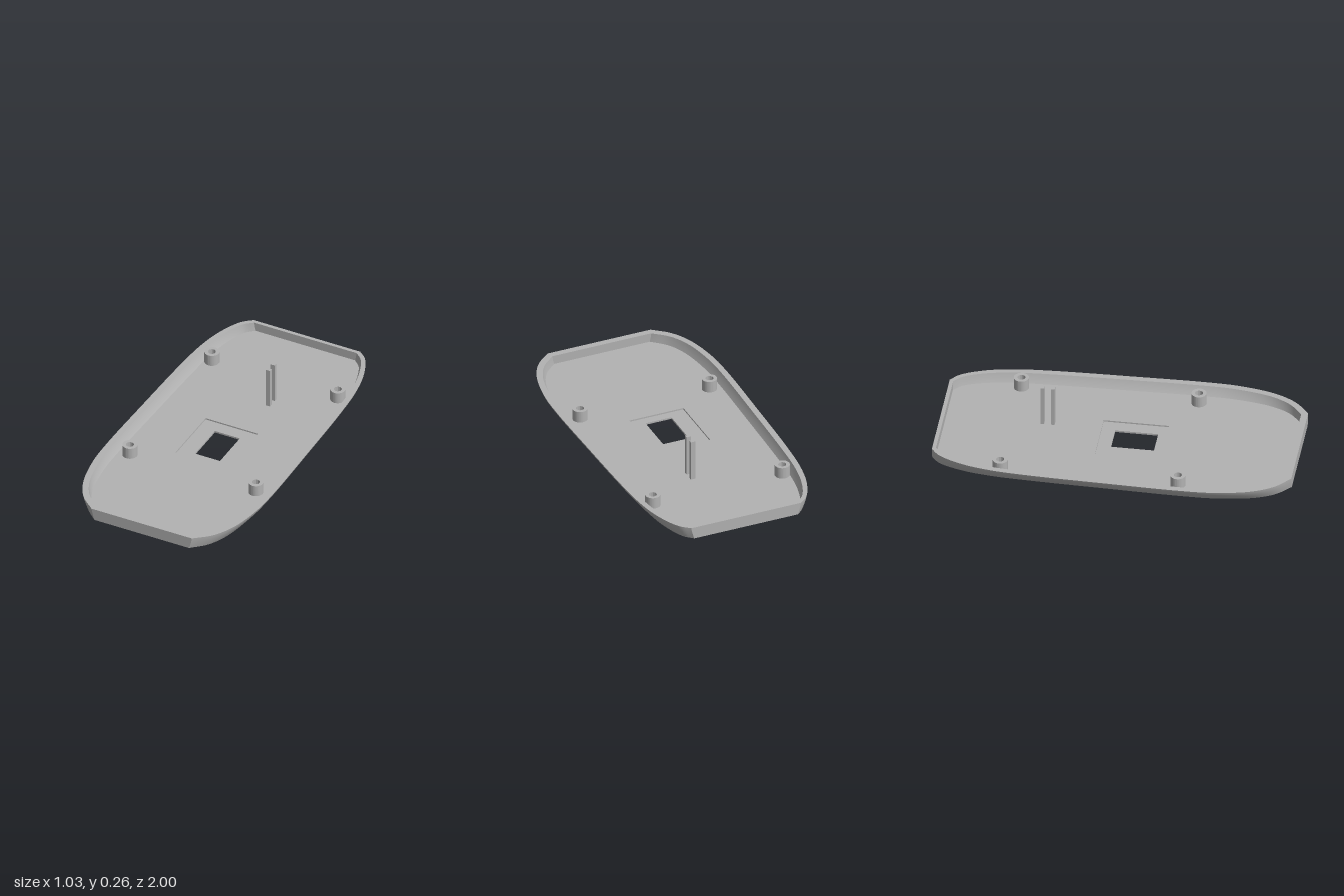
import * as THREE from 'three';
import { toCreasedNormals } from 'three/addons/utils/BufferGeometryUtils.js';

const RIM = 0.07, BASE = 0.01, FLOOR = 0.018;
const BOSSES = [[0.39, -0.61], [-0.39, -0.61], [0.39, 0.38], [-0.39, 0.38]];
const HOLE_R = 0.022;

// Half-width of the rim along z, from front to back
const edge = new THREE.CatmullRomCurve3([
  [0.31, 1], [0.4, 0.92], [0.465, 0.8], [0.508, 0.6], [0.517, 0.42], [0.51, 0],
  [0.497, -0.45], [0.48, -0.66], [0.445, -0.82], [0.385, -0.95], [0.33, -1],
].map(([x, z]) => new THREE.Vector3(x, 0, z))).getPoints(60);

// Closed loop of [x, z]; the inset fades towards the flat ends
function loop(inset, inner = false) {
  const right = edge.map((p) => {
    const fade = 0.35 + 0.65 * (1 - p.z ** 4);
    const z = inner ? -0.008 + p.z * 0.971 : p.z;
    return [p.x - inset * fade, z];
  });
  return [...right, ...right.map(([x, z]) => [-x, z]).reverse()];
}

// Skin joining equal loops one after another
function skin(sections) {
  const pos = [], idx = [], n = sections[0].pts.length;
  for (const { y, pts } of sections) for (const [x, z] of pts) pos.push(x, y, z);
  for (let s = 0; s < sections.length - 1; s++) {
    for (let i = 0; i < n; i++) {
      const j = (i + 1) % n, a = s * n + i, b = s * n + j;
      idx.push(a, b, b + n, a, b + n, a + n);
    }
  }
  const g = new THREE.BufferGeometry();
  g.setAttribute('position', new THREE.Float32BufferAttribute(pos, 3));
  g.setIndex(idx);
  return toCreasedNormals(g, 0.6);
}

const circle = (Type, x, z, r) => new Type().absarc(x, -z, r, 0, Math.PI * 2);

function rectPath(x0, x1, z0, z1) {
  return new THREE.Path([[x0, z0], [x1, z0], [x1, z1], [x0, z1]]
    .map(([x, z]) => new THREE.Vector2(x, -z)));
}

// Extrudes a plan shape upwards from y0 to y1
function slab(shape, y0, y1) {
  const g = new THREE.ExtrudeGeometry(shape, { depth: y1 - y0, bevelEnabled: false, curveSegments: 32 });
  g.rotateX(-Math.PI / 2).translate(0, y0, 0);
  return toCreasedNormals(g, 0.5);
}

function plate(pts, opening) {
  const shape = new THREE.Shape(pts.map(([x, z]) => new THREE.Vector2(x, -z)));
  shape.holes.push(opening, ...BOSSES.map(([x, z]) => circle(THREE.Path, x, z, HOLE_R)));
  return shape;
}

export function createModel() {
  const model = new THREE.Group();
  const grey = new THREE.MeshStandardMaterial({ color: 0xb2b2b2 });
  grey.name = 'grey plastic';
  const add = (name, geometry) => {
    const mesh = new THREE.Mesh(geometry, grey);
    mesh.name = name;
    model.add(mesh);
    return mesh;
  };

  // Curved outer wall, flat rim and sloped inner wall
  const sections = [];
  for (let i = 0; i <= 6; i++) {
    const t = i / 6;
    sections.push({ y: RIM * t, pts: loop(0.05 * (1 - t) ** 1.35) });
  }
  sections.push({ y: RIM, pts: loop(0.035, true) });
  sections.push({ y: 0.042, pts: loop(0.046, true) });
  sections.push({ y: FLOOR, pts: loop(0.062, true) });
  add('wall', skin(sections));

  // Floor in two layers: the wider opening above forms the recess round the window
  add('basePlate', slab(plate(loop(0.05), rectPath(-0.08, 0.075, -0.04, 0.2)), 0, BASE));
  add('floor', slab(plate(loop(0.062, true), rectPath(-0.175, 0.15, -0.115, 0.25)), BASE, FLOOR));

  // Screw bosses with through holes
  for (const [x, z] of BOSSES) {
    const ring = circle(THREE.Shape, x, z, 0.042);
    ring.holes.push(circle(THREE.Path, x, z, HOLE_R));
    add('screwBoss', slab(ring, BASE, 0.085));
  }

  // Pair of upright pins
  for (const z of [-0.386, -0.444]) {
    add('pin', new THREE.BoxGeometry(0.026, 0.247, 0.02)).position.set(0.078, 0.1345, z);
  }
  return model;
}
